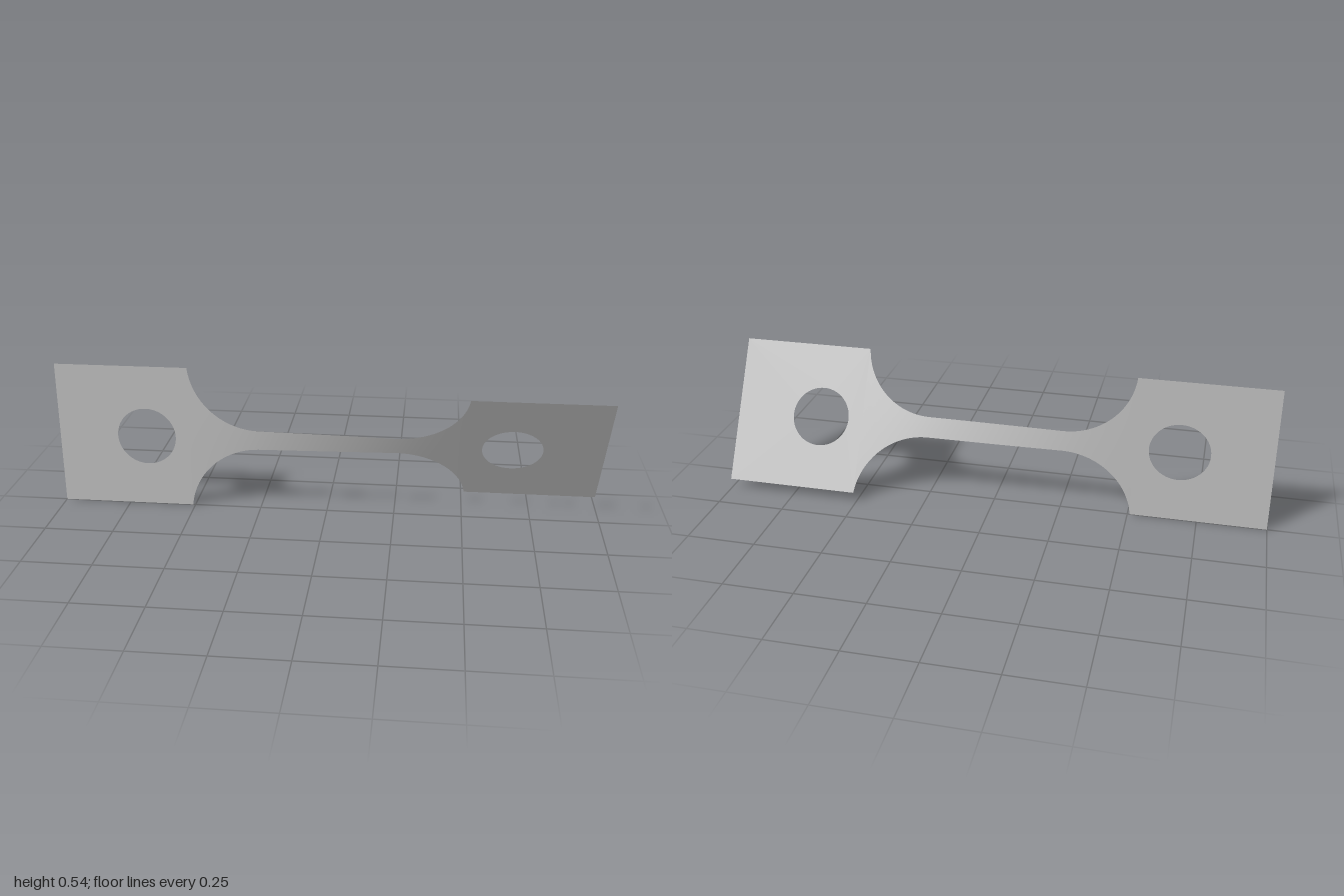
import * as THREE from 'three';

const H = 0.272;               // half height of the end plates
const NECK = 0.038;            // half height of the slim neck
const R = 0.26;                // fillet radius
const FILLET_X = 0.25;         // where the fillets begin
const TAB_X = FILLET_X + Math.sqrt(R * R - (NECK + R - H) ** 2); // where they meet the plates
const TWIST = THREE.MathUtils.degToRad(30.5);
const COLS = 96;

// half height of the strip at a given x
function halfHeight(x) {
  const d = Math.max(0, Math.abs(x) - FILLET_X);
  return NECK + R - Math.sqrt(Math.max(0, R * R - d * d));
}

// square plate with a round hole
function plate(name, side, angle, material) {
  const a = side * TAB_X, b = side;
  const x0 = Math.min(a, b), x1 = Math.max(a, b);
  const shape = new THREE.Shape();
  shape.moveTo(x0, -H).lineTo(x1, -H).lineTo(x1, H).lineTo(x0, H).closePath();
  const hole = new THREE.Path();
  hole.absarc(side * 0.671, 0, 0.109, 0, Math.PI * 2, true);
  shape.holes.push(hole);
  const mesh = new THREE.Mesh(new THREE.ShapeGeometry(shape, 32), material);
  mesh.name = name;
  mesh.rotation.x = angle;
  return mesh;
}

// waisted strip, twisting most where it is slimmest
function neck(material) {
  const xs = [], angles = [0];
  for (let i = 0; i <= COLS; i++) xs.push(TAB_X * Math.sin((i / COLS - 0.5) * Math.PI));
  for (let i = 1; i <= COLS; i++) {
    angles.push(angles[i - 1] + (xs[i] - xs[i - 1]) / halfHeight((xs[i] + xs[i - 1]) / 2));
  }
  const geo = new THREE.PlaneGeometry(2, 2, COLS, 6);
  const p = geo.attributes.position;
  for (let i = 0; i < p.count; i++) {
    const c = i % (COLS + 1);
    const angle = TWIST * angles[c] / angles[COLS];
    const v = p.getY(i) * halfHeight(xs[c]);
    p.setXYZ(i, xs[c], v * Math.cos(angle), v * Math.sin(angle));
  }
  geo.computeVertexNormals();
  const mesh = new THREE.Mesh(geo, material);
  mesh.name = 'twistedNeck';
  return mesh;
}

export function createModel() {
  const grey = new THREE.MeshStandardMaterial({ color: 0xbfbfbf, side: THREE.DoubleSide });
  grey.name = 'light grey metal';
  const group = new THREE.Group();
  group.name = 'twistedTestStrip';
  group.add(
    plate('rightPlate', -1, 0, grey),
    neck(grey),
    plate('leftPlate', 1, TWIST, grey),
  );
  group.position.y = H;
  return group;
}
